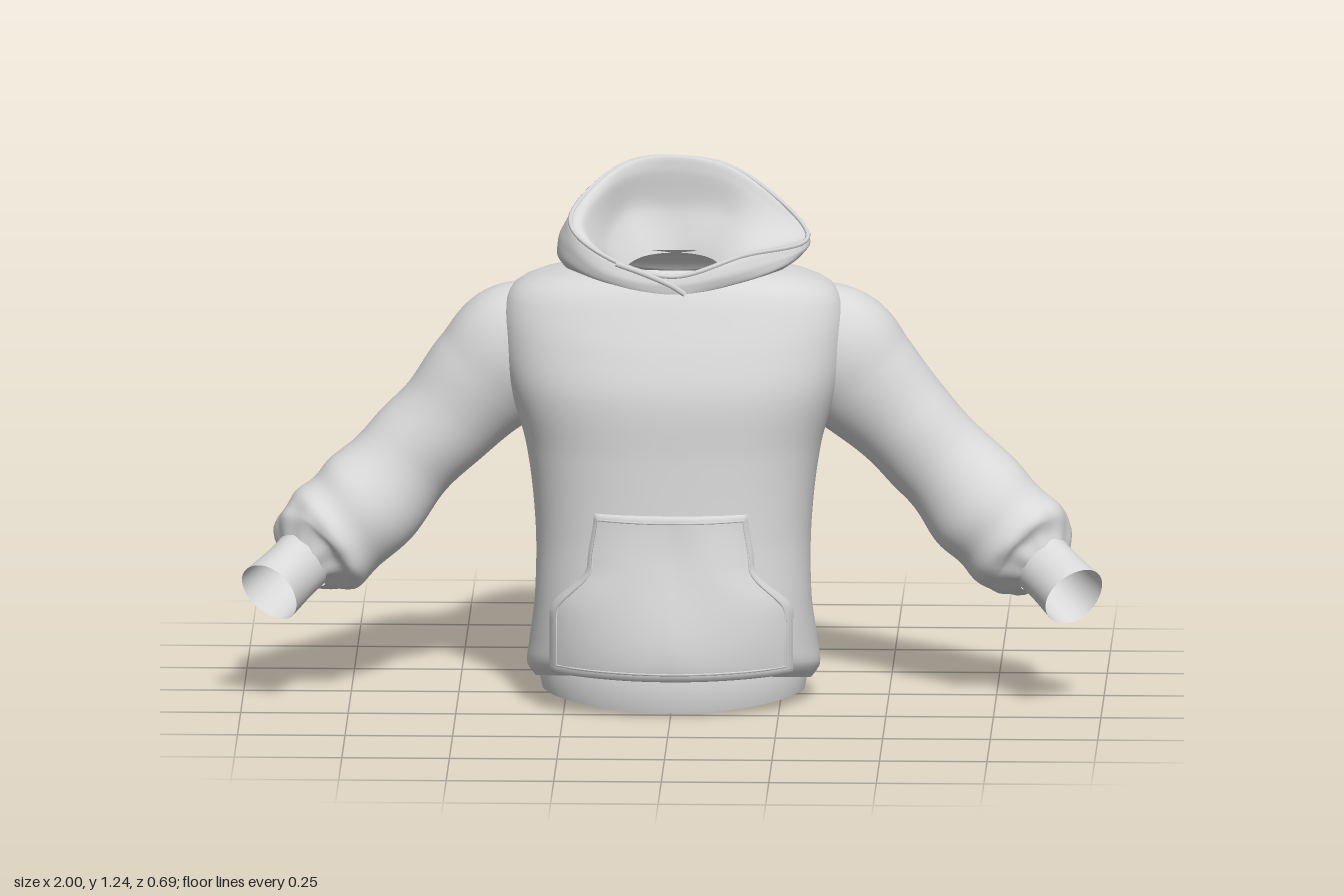
import * as THREE from 'three';

const fabric = new THREE.MeshStandardMaterial({ color: 0xd8d8d8, side: THREE.DoubleSide });
fabric.name = 'light grey fabric';
const V = (x, y, z) => new THREE.Vector3(x, y, z);
const { lerp, clamp, smoothstep } = THREE.MathUtils;

function addMesh(parent, geometry, name) {
  const mesh = new THREE.Mesh(geometry, fabric);
  mesh.name = name;
  parent.add(mesh);
}

// Skin a list of point rings; closed rings wrap round without a seam.
function loft(rings, closed = true) {
  const n = rings[0].length, index = [];
  const cols = closed ? n : n - 1;
  for (let j = 0; j < rings.length - 1; j++) {
    for (let i = 0; i < cols; i++) {
      const a = j * n + i, b = j * n + (i + 1) % n;
      index.push(a, b, a + n, b, b + n, a + n);
    }
  }
  const g = new THREE.BufferGeometry().setFromPoints(rings.flat());
  g.setIndex(index);
  g.computeVertexNormals();
  return g;
}

function cord(points, radius, closed = false) {
  return new THREE.TubeGeometry(new THREE.CatmullRomCurve3(points, closed), 80, radius, 6, closed);
}

// Smooth (Hermite) lookup in a table of rows, keyed on the first column.
function lookup(rows, key) {
  let k = 0;
  while (k < rows.length - 2 && key > rows[k + 1][0]) k++;
  const a = rows[k], b = rows[k + 1], p = rows[k - 1] || a, q = rows[k + 2] || b;
  const h = b[0] - a[0], t = clamp((key - a[0]) / h, 0, 1), t2 = t * t, t3 = t2 * t;
  return a.map((v, c) => {
    const m0 = (b[c] - p[c]) / (b[0] - p[0]) * h, m1 = (q[c] - v) / (q[0] - a[0]) * h;
    return (2 * t3 - 3 * t2 + 1) * v + (t3 - 2 * t2 + t) * m0
      + (3 * t2 - 2 * t3) * b[c] + (t3 - t2) * m1;
  });
}

// Torso sections: height, half width, front z, back z.
const TORSO = [
  [0.05, 0.32, 0.255, -0.195], [0.08, 0.34, 0.275, -0.215], [0.13, 0.336, 0.29, -0.228],
  [0.25, 0.322, 0.29, -0.188], [0.42, 0.32, 0.275, -0.208], [0.6, 0.342, 0.265, -0.23],
  [0.75, 0.385, 0.26, -0.235], [0.85, 0.4, 0.23, -0.23], [0.93, 0.395, 0.195, -0.208],
  [0.98, 0.362, 0.17, -0.185], [1.01, 0.285, 0.145, -0.155], [1.03, 0.16, 0.11, -0.12],
];
const POWER = 2.4;

function torsoPoint(y, a) {
  const [, w, f, b] = lookup(TORSO, y);
  const s = Math.sin(a), c = Math.cos(a);
  const round = v => Math.sign(v) * Math.abs(v) ** (2 / POWER);
  // soft folds fanning down the back and sides
  const fold = 0.012 * Math.sin(9 * Math.abs(s) + 11 * y) * smoothstep(-c, -0.3, 0.6)
    * smoothstep(y, 0.08, 0.3) * (1 - smoothstep(y, 0.7, 0.95));
  const x = round(s) * w * (1 + fold);
  const z = (f + b) / 2 + round(c) * (f - b) / 2 * (1 + 2 * fold);
  // the lower edge hangs lower at the back
  const drop = Math.max(0, 1 - y / 0.25) * 0.26 * (z - 0.03);
  return V(x, y + drop, z);
}

function frontZ(x, y) {
  const [, w, f, b] = lookup(TORSO, y);
  return (f + b) / 2 + (f - b) / 2 * Math.max(0, 1 - Math.abs(x / w) ** POWER) ** (1 / POWER);
}

function buildTorso(group) {
  const rings = [];
  for (let j = 0; j <= 70; j++) {
    const y = lerp(0.05, 1.03, j / 70);
    rings.push(Array.from({ length: 96 }, (_, i) => torsoPoint(y, i / 96 * Math.PI * 2)));
  }
  addMesh(group, loft(rings), 'torso');

  // ribbed band tucked inside the lower edge
  const band = [[0.008, 0.305], [0.04, 0.312], [0.08, 0.312], [0.12, 0.305]].map(([y, w]) =>
    Array.from({ length: 72 }, (_, i) => {
      const a = i / 72 * Math.PI * 2;
      return V(Math.sin(a) * w, y + 0.02 * Math.sin(a) ** 2, 0.035 + Math.cos(a) * (w - 0.085));
    }));
  addMesh(group, loft(band), 'hemBand');
}

// Pocket outline: half width at a height, with curved hand openings.
const pocketWidth = y => lerp(0.283, 0.194, smoothstep(y, 0.24, 0.36)) - 0.015 * smoothstep(y, 0.36, 0.48);
function pocketPoint(u, y, lift) {
  const x = u * pocketWidth(y);
  return V(x, y, frontZ(x, y) + lift);
}
const pocketLift = (u, y) => lerp(0.053, 0.017, smoothstep(y, 0.14, 0.48)) * (1 - 0.5 * u * u)
  + 0.003 * Math.sin(14 * y + 5 * Math.abs(u));

function buildPocket(group) {
  const rows = [], N = 36, M = 30;
  for (let j = -1; j <= M + 1; j++) {
    const y = lerp(0.1, 0.48, clamp(j / M, 0, 1));
    const row = [];
    for (let i = -1; i <= N + 1; i++) {
      const u = clamp(i / N, 0, 1) * 2 - 1;
      const border = j < 0 || j > M || i < 0 || i > N;
      row.push(pocketPoint(u, y, border ? -0.01 : pocketLift(u, y)));
    }
    rows.push(row);
  }
  addMesh(group, loft(rows, false), 'frontPocket');

  // raised seams just inside the pocket edge
  const edge = (u, y) => pocketPoint(u, y, pocketLift(u, y) - 0.001);
  for (const s of [-1, 1]) {
    addMesh(group, cord(Array.from({ length: 16 }, (_, i) => edge(s * 0.94, lerp(0.118, 0.466, i / 15))), 0.003), 'pocketSideSeam');
  }
  for (const y of [0.118, 0.466]) {
    addMesh(group, cord(Array.from({ length: 13 }, (_, i) => edge(lerp(-0.94, 0.94, i / 12), y)), 0.003), 'pocketCrossSeam');
  }
}

// Sleeve sections: step, centre x y z, radius across, radius in depth.
const SLEEVE = [
  [0, 0.25, 0.855, -0.03, 0.125, 0.12], [1, 0.36, 0.81, -0.04, 0.16, 0.135],
  [2, 0.44, 0.74, -0.045, 0.143, 0.128], [3, 0.53, 0.645, -0.045, 0.123, 0.12],
  [4, 0.62, 0.553, -0.035, 0.12, 0.116], [5, 0.71, 0.457, 0, 0.13, 0.122],
  [6, 0.78, 0.393, 0.03, 0.13, 0.124], [7, 0.832, 0.35, 0.058, 0.12, 0.118],
  [8, 0.862, 0.325, 0.085, 0.07, 0.072],
];
const CUFF = [
  [0, 0.835, 0.352, 0.055, 0.075, 0.078], [1, 0.885, 0.312, 0.108, 0.072, 0.072],
  [2, 0.935, 0.273, 0.168, 0.076, 0.082],
];

function limb(table, side, steps, wrinkle) {
  const last = table.length - 1, rings = [];
  const centre = t => { const r = lookup(table, t); return V(r[1] * side, r[2], r[3]); };
  for (let j = 0; j <= steps; j++) {
    const t = j / steps * last, r = lookup(table, t), c = centre(t);
    const T = centre(Math.min(last, t + 0.05)).sub(centre(Math.max(0, t - 0.05))).normalize();
    const N = V(0, 0, 1).cross(T).normalize(), B = T.clone().cross(N);
    rings.push(Array.from({ length: 48 }, (_, i) => {
      const a = i / 48 * Math.PI * 2, k = 1 + wrinkle(t, a);
      return c.clone().addScaledVector(N, Math.cos(a) * r[4] * k).addScaledVector(B, Math.sin(a) * r[5] * k);
    }));
  }
  return loft(rings);
}

// Slanting folds that tighten into gathers near the cuff.
const sleeveFolds = (t, a) => lerp(0.004, 0.03, smoothstep(t, 1, 6)) * Math.sin(4.2 * t + 1.6 * Math.sin(a + 0.6 * t))
  + 0.035 * smoothstep(t, 6.2, 7.5) * Math.sin(9 * a);

function buildSleeves(group) {
  for (const side of [1, -1]) {
    const name = side > 0 ? 'left' : 'right';
    addMesh(group, limb(SLEEVE, side, 80, sleeveFolds), name + 'Sleeve');
    addMesh(group, limb(CUFF, side, 16, (t, a) => 0.02 * Math.sin(3 * a + t)), name + 'Cuff');
  }
}

// Hood loops, from the neck seam out over the drape, over the rim and in to the neck.
// Each row: skew, front (y z), left front (x y z), left, left back, back (y z).
const HOOD = [
  [0, 0.98, 0.155, 0.16, 1, 0.11, 0.25, 1.01, 0, 0.19, 1, -0.13, 0.97, -0.18],
  [0.2, 0.982, 0.166, 0.175, 1.01, 0.125, 0.285, 1.03, -0.02, 0.2, 0.985, -0.2, 0.883, -0.295],
  [0.6, 1, 0.168, 0.175, 1.03, 0.13, 0.31, 1.05, -0.06, 0.2, 1.04, -0.235, 0.96, -0.345],
  [0.85, 1.01, 0.167, 0.17, 1.045, 0.13, 0.315, 1.062, -0.07, 0.185, 1.12, -0.22, 1.06, -0.28],
  [1, 1.025, 0.16, 0.16, 1.067, 0.123, 0.31, 1.076, -0.07, 0.155, 1.205, -0.165, 1.238, -0.178],
  [1, 1.022, 0.146, 0.145, 1.06, 0.106, 0.28, 1.07, -0.065, 0.145, 1.18, -0.15, 1.213, -0.163],
  [0.3, 1.01, 0.138, 0.11, 1.03, 0.093, 0.18, 1.045, -0.03, 0.12, 1.11, -0.14, 1.12, -0.168],
  [0, 0.985, 0.132, 0.075, 1, 0.08, 0.112, 1.01, 0, 0.075, 1.02, -0.09, 1.02, -0.138],
];

// Mirror the left half of a loop; the skew pulls the right side in, up and forward.
function hoodLoop([skew, fy, fz, ...rest]) {
  const left = [0, 3, 6].map(k => V(...rest.slice(k, k + 3)));
  const right = left.map((p, i) =>
    V(-p.x, p.y, p.z).addScaledVector(V(0.07, 0.06, 0.1), skew * [0, 1, 0.3][i])).reverse();
  const points = [V(0, fy, fz), ...left, V(0, rest[9], rest[10]), ...right];
  return new THREE.CatmullRomCurve3(points, true, 'catmullrom', 0.5);
}

function buildHood(group) {
  const curves = HOOD.map(hoodLoop);
  const around = 80, steps = 56;
  const columns = Array.from({ length: around }, (_, i) =>
    new THREE.CatmullRomCurve3(curves.map(c => c.getPoint(i / around)), false, 'catmullrom', 0.4));
  const rings = Array.from({ length: steps + 1 }, (_, j) => columns.map(c => c.getPoint(j / steps)));
  addMesh(group, loft(rings), 'hood');

  // stitched rim and the crossed collar edge at the throat
  addMesh(group, cord(curves[4].getPoints(40).slice(0, -1), 0.006, true), 'hoodRim');
  addMesh(group, cord([V(-0.13, 1.052, 0.143), V(-0.06, 1.03, 0.16), V(0, 1.005, 0.167), V(0.03, 0.985, 0.165)], 0.007), 'collarOverlap');
}

export function createModel() {
  const group = new THREE.Group();
  group.name = 'hoodedSweatshirt';
  buildTorso(group);
  buildPocket(group);
  buildSleeves(group);
  buildHood(group);
  return group;
}
